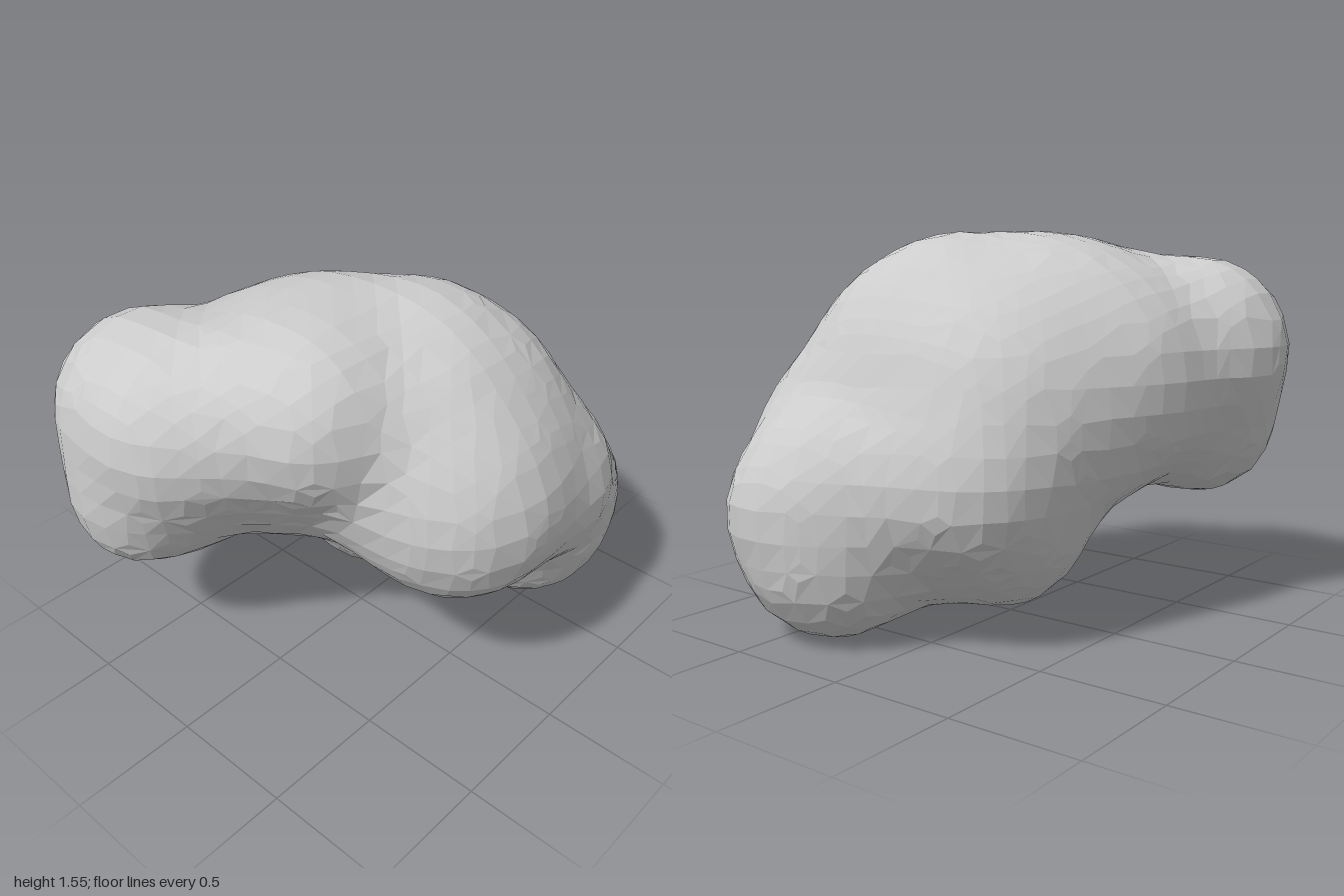
import * as THREE from 'three';

// Rounded lobes of the boulder: [start, end, radius]
const LOBES = [
  [[-0.50, 1.05, 0.57], [-0.32, 1.06, 0.59], 0.38],   // front lobe, upper
  [[-0.48, 0.74, 0.67], [-0.43, 0.75, 0.60], 0.30],   // front lobe, lower
  [[-0.02, 1.16, 0.39], [0.11, 1.17, 0.34], 0.35],    // brow
  [[-0.02, 1.05, 0.05], [0.19, 1.05, -0.11], 0.475],  // crown
  [[0.36, 0.98, -0.02], [0.36, 0.97, -0.25], 0.39],   // shoulder
  [[0.49, 0.82, -0.03], [0.50, 0.70, -0.42], 0.375],  // side bulge
  [[0.33, 0.82, -0.02], [0.49, 0.82, -0.03], 0.37],   // inner side of the bulge
  [[-0.10, 0.80, -0.20], [-0.24, 0.95, 0.15], 0.49],  // core
  [[-0.05, 0.90, -0.24], [0.18, 0.88, -0.27], 0.42],  // upper back
  [[0.34, 0.33, -0.65], [0.43, 0.47, -0.67], 0.32],   // rear foot, inner
  [[0.44, 0.34, -0.64], [0.43, 0.47, -0.67], 0.32],   // rear foot, outer
  [[-0.13, 0.60, -0.46], [0.28, 0.58, -0.58], 0.325], // back slope
  [[-0.11, 0.42, -0.25], [0.18, 0.42, -0.36], 0.325], // belly
];
const BLEND = 0.15;
const CELL = 0.11;
const ORIGIN = [-1.2, -0.3, -1.3];
const COUNT = [23, 20, 25];

const lobes = LOBES.map(([a, b, r]) => ({
  line: new THREE.Line3(new THREE.Vector3(...a), new THREE.Vector3(...b)), r,
}));
const near = new THREE.Vector3();

// Signed distance to the lobes, blended smoothly together
function field(p) {
  let d = 10;
  for (const { line, r } of lobes) {
    line.closestPointToPoint(p, true, near);
    const e = near.distanceTo(p) - r;
    const h = Math.max(BLEND - Math.abs(d - e), 0) / BLEND;
    d = Math.min(d, e) - h * h * BLEND / 4;
  }
  return d;
}

// Slide a point along the gradient onto the surface
function settle(p) {
  const e = 0.01;
  const f = field(p);
  const g = new THREE.Vector3(...['x', 'y', 'z'].map((k) => {
    const q = p.clone();
    q[k] += e;
    return (field(q) - f) / e;
  }));
  return p.addScaledVector(g, -f / Math.max(g.lengthSq(), 0.3));
}

// Skin the field with one vertex per boundary cell and a quad per crossing edge
function skinGeometry() {
  const [nx, ny, nz] = COUNT;
  const id = (i, j, k) => i + nx * (j + ny * k);
  const step = [1, nx, nx * ny];
  const point = (i, j, k) => new THREE.Vector3(
    ORIGIN[0] + i * CELL, ORIGIN[1] + j * CELL, ORIGIN[2] + k * CELL);
  const values = new Float32Array(nx * ny * nz);
  const eachCell = (start, end, fn) => {
    for (let k = start; k < nz - end; k++)
      for (let j = start; j < ny - end; j++)
        for (let i = start; i < nx - end; i++) fn(i, j, k);
  };
  eachCell(0, 0, (i, j, k) => { values[id(i, j, k)] = field(point(i, j, k)); });

  const positions = [];
  const vertexOf = new Map();
  eachCell(0, 1, (i, j, k) => {
    const sum = new THREE.Vector3();
    let hits = 0;
    for (let c = 0; c < 8; c++) {
      for (let axis = 0; axis < 3; axis++) {
        if (c & (1 << axis)) continue;
        const corner = [i + (c & 1), j + ((c >> 1) & 1), k + (c >> 2)];
        const a = values[id(...corner)];
        const b = values[id(...corner) + step[axis]];
        if ((a < 0) === (b < 0)) continue;
        corner[axis] += a / (a - b);
        sum.add(point(...corner));
        hits++;
      }
    }
    if (!hits) return;
    vertexOf.set(id(i, j, k), positions.length / 3);
    positions.push(...settle(sum.divideScalar(hits)).toArray());
  });

  const index = [];
  eachCell(1, 1, (i, j, k) => {
    const n = id(i, j, k);
    for (let axis = 0; axis < 3; axis++) {
      const inside = values[n] < 0;
      if (inside === (values[n + step[axis]] < 0)) continue;
      const b = step[(axis + 1) % 3];
      const c = step[(axis + 2) % 3];
      const quad = [n - b - c, n - c, n, n - b].map((m) => vertexOf.get(m));
      if (!inside) quad.reverse();
      index.push(quad[0], quad[1], quad[2], quad[0], quad[2], quad[3]);
    }
  });

  const geometry = new THREE.BufferGeometry();
  geometry.setAttribute('position', new THREE.Float32BufferAttribute(positions, 3));
  geometry.setIndex(index);
  geometry.computeVertexNormals();
  return geometry;
}

export function createModel() {
  // Rest the boulder on the ground, centred
  const geometry = skinGeometry().center();
  geometry.computeBoundingBox();
  geometry.translate(0, -geometry.boundingBox.min.y, 0);

  const boulder = new THREE.Mesh(geometry, new THREE.MeshStandardMaterial({
    color: 0xcccccc, flatShading: true,
  }));
  boulder.name = 'boulder';
  const group = new THREE.Group();
  group.name = 'rock';
  group.add(boulder);
  return group;
}
